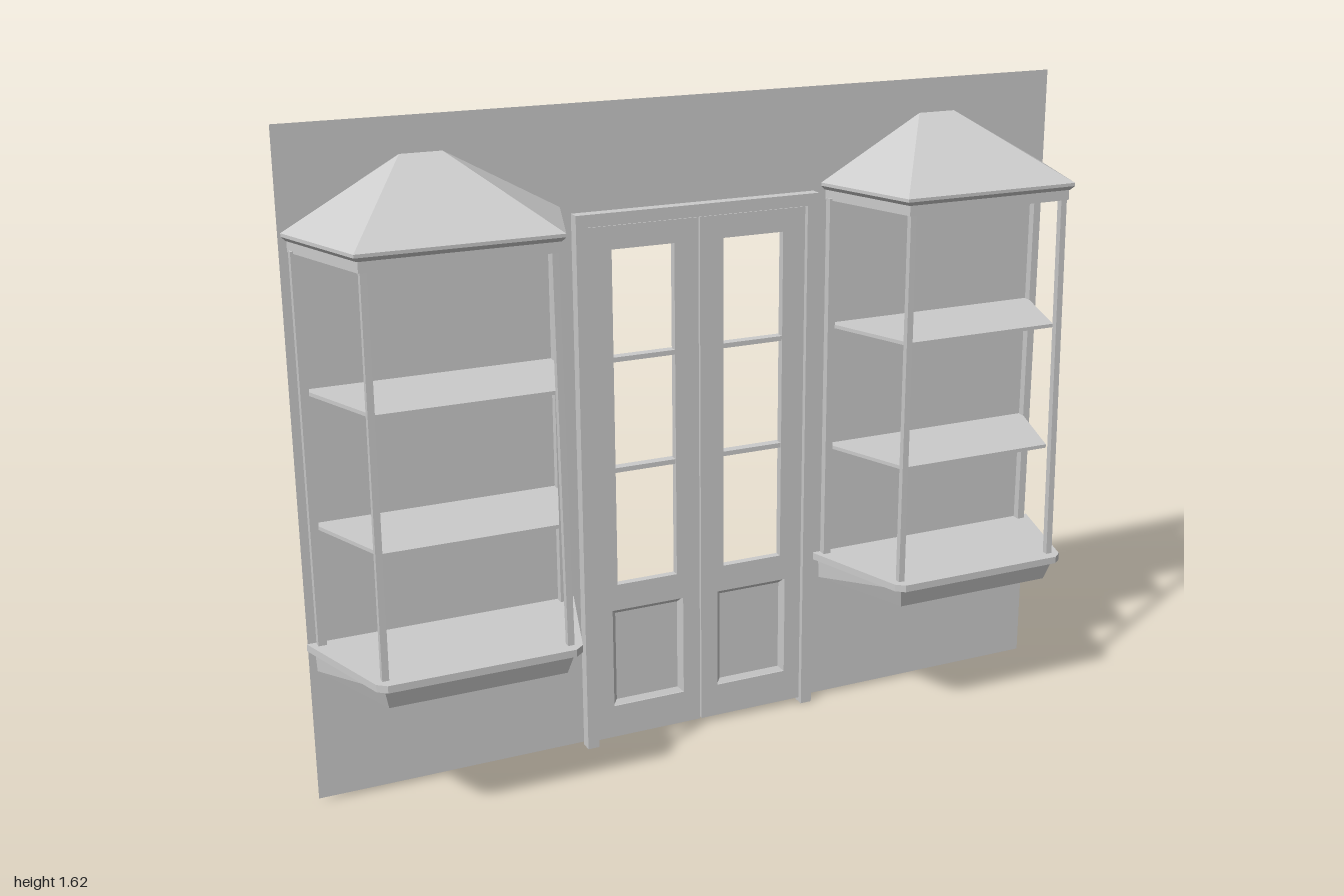
import * as THREE from 'three';

const BACK = -0.135; // plane of the wall
const material = new THREE.MeshStandardMaterial({ color: 0xcccccc, flatShading: true, side: THREE.DoubleSide });

function add(parent, name, geometry, x = 0, y = 0, z = 0) {
  const mesh = new THREE.Mesh(geometry, material);
  mesh.name = name;
  mesh.position.set(x, y, z);
  parent.add(mesh);
  return mesh;
}

// Box given by its minimum and maximum corners
function block(parent, name, [x0, y0, z0], [x1, y1, z1]) {
  return add(parent, name, new THREE.BoxGeometry(x1 - x0, y1 - y0, z1 - z0),
    (x0 + x1) / 2, (y0 + y1) / 2, (z0 + z1) / 2);
}

// Skin between matching loops of points, with optional end caps
function loft(loops, capStart = true, capEnd = true) {
  const n = loops[0].length, index = [];
  for (let r = 0; r < loops.length - 1; r++) {
    for (let i = 0; i < n; i++) {
      const a = r * n + i, b = r * n + (i + 1) % n;
      index.push(a, b, b + n, a, b + n, a + n);
    }
  }
  const last = (loops.length - 1) * n;
  for (let i = 1; i < n - 1; i++) {
    if (capStart) index.push(0, i + 1, i);
    if (capEnd) index.push(last, last + i, last + i + 1);
  }
  const geometry = new THREE.BufferGeometry();
  geometry.setAttribute('position', new THREE.Float32BufferAttribute(loops.flat(2), 3));
  geometry.setIndex(index);
  const flat = geometry.toNonIndexed();
  flat.computeVertexNormals();
  return flat;
}

// Bay plan at height y: half width at the wall, half width at the front, front z
const plan = (y, back, front, z) => [[-back, y, BACK], [-front, y, z], [front, y, z], [back, y, BACK]];
const rect = (x0, y0, x1, y1, z) => [[x0, y0, z], [x1, y0, z], [x1, y1, z], [x0, y1, z]];
const square = (x, y, z, h) => [[x - h, y, z - h], [x - h, y, z + h], [x + h, y, z + h], [x + h, y, z - h]];

function rectPath(x0, y0, x1, y1, Type = THREE.Path) {
  return new Type([[x0, y0], [x1, y0], [x1, y1], [x0, y1]].map(p => new THREE.Vector2(...p)));
}

function makeWall() {
  // Thin sheet with a doorway cut up from the bottom edge
  const points = [[-1, 0.008], [-0.318, 0.008], [-0.318, 1.37], [0.318, 1.37],
    [0.318, 0.008], [0.99, 0.008], [0.99, 1.625], [-1, 1.625]];
  const shape = new THREE.Shape(points.map(p => new THREE.Vector2(...p)));
  const wall = new THREE.Mesh(new THREE.ShapeGeometry(shape), material);
  wall.name = 'wall';
  wall.position.z = BACK;
  return wall;
}

function makeDoorFrame() {
  // Channel-shaped frame, open towards the back
  const frame = new THREE.Group();
  frame.name = 'doorFrame';
  const arch = (w, top, z) => [[-w, 0, z], [-w, top, z], [w, top, z], [w, 0, z]];
  const outer = [arch(0.318, 1.37, BACK), arch(0.318, 1.37, -0.105)];
  const inner = [arch(0.288, 1.34, -0.105), arch(0.288, 1.34, BACK)];
  const strips = [...outer, ...inner];
  const index = [];
  for (let r = 0; r < 3; r++) {
    for (let i = 0; i < 3; i++) {
      const a = r * 4 + i;
      index.push(a, a + 4, a + 5, a, a + 5, a + 1);
    }
  }
  const geometry = new THREE.BufferGeometry();
  geometry.setAttribute('position', new THREE.Float32BufferAttribute(strips.flat(2), 3));
  geometry.setIndex(index);
  const flat = geometry.toNonIndexed();
  flat.computeVertexNormals();
  add(frame, 'architrave', flat);
  return frame;
}

function makeDoor(side) {
  const door = new THREE.Group();
  door.name = side > 0 ? 'leftDoor' : 'rightDoor';
  const front = -0.115;

  // Leaf with a tall glazing opening and a lower panel opening
  const shape = rectPath(0.002, 0.014, 0.286, 1.337, THREE.Shape);
  shape.holes.push(rectPath(0.065, 0.43, 0.226, 1.28), rectPath(0.048, 0.1, 0.241, 0.362));
  add(door, 'doorLeaf', new THREE.ExtrudeGeometry(shape, { depth: front - BACK, bevelEnabled: false }), 0, 0, BACK);

  // Sunken panel with sloping moulding, flush at the back
  add(door, 'doorPanel', loft([
    rect(0.048, 0.1, 0.241, 0.362, BACK),
    rect(0.048, 0.1, 0.241, 0.362, front - 0.004),
    rect(0.06, 0.112, 0.229, 0.35, front - 0.013),
  ]));

  // Glazing bars
  for (const y of [0.73, 1.01]) block(door, 'glazingBar', [0.063, y - 0.006, -0.142], [0.228, y + 0.006, -0.117]);
  door.scale.x = side;
  return door;
}

function makeBay(name, x) {
  const bay = new THREE.Group();
  bay.name = name;
  bay.position.x = x;

  // Tapered base below the sill
  add(bay, 'base', loft([plan(0.34, 0.312, 0.215, 0.125), plan(0.395, 0.315, 0.228, 0.143)]));

  // Sill with clipped front corners
  const sill = y => [[-0.333, y, BACK], [-0.247, y, 0.145], [-0.225, y, 0.163],
    [0.225, y, 0.163], [0.247, y, 0.145], [0.333, y, BACK]];
  add(bay, 'sill', loft([sill(0.395), sill(0.413)]));

  // Two shelves
  for (const y of [0.7, 1.02]) {
    add(bay, 'shelf', loft([plan(y, 0.3, 0.208, 0.115), plan(y + 0.009, 0.3, 0.208, 0.115)]));
  }

  // Posts: the front pair lean back slightly
  for (const s of [-1, 1]) {
    add(bay, 'frontPost', loft([square(s * 0.222, 0.41, 0.128, 0.008), square(s * 0.214, 1.35, 0.117, 0.008)]));
    add(bay, 'backPost', loft([square(s * 0.301, 0.41, -0.122, 0.01), square(s * 0.301, 1.35, -0.122, 0.01)]));
  }

  // Top rail ring, then eave and hipped roof
  add(bay, 'topRail', loft([
    plan(1.372, 0.312, 0.226, 0.127), plan(1.345, 0.312, 0.226, 0.127),
    plan(1.345, 0.294, 0.208, 0.109), plan(1.372, 0.294, 0.208, 0.109),
  ], false, false));
  add(bay, 'eave', loft([plan(1.37, 0.314, 0.228, 0.128), plan(1.38, 0.324, 0.236, 0.136),
    plan(1.388, 0.324, 0.236, 0.136)]));
  add(bay, 'roof', loft([plan(1.388, 0.324, 0.236, 0.136), plan(1.54, 0.05, 0.05, BACK)], false, false));
  return bay;
}

export function createModel() {
  const model = new THREE.Group();
  model.name = 'shopFront';
  model.add(makeWall(), makeDoorFrame(), makeDoor(1), makeDoor(-1),
    makeBay('leftBayWindow', 0.664), makeBay('rightBayWindow', -0.669));
  return model;
}
